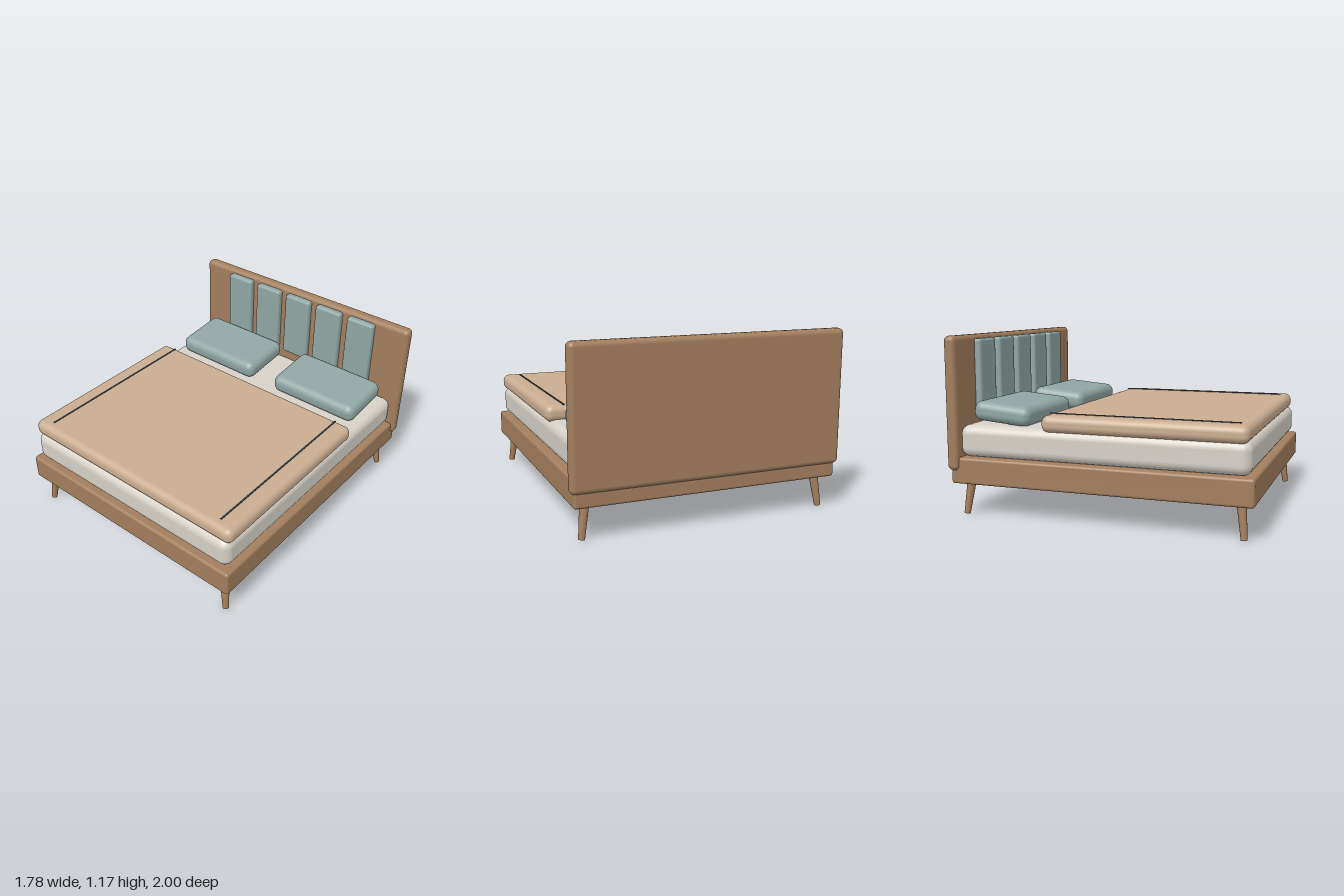
import * as THREE from 'three';
import { RoundedBoxGeometry } from 'three/addons/geometries/RoundedBoxGeometry.js';

const material = (name, color) => {
  const m = new THREE.MeshStandardMaterial({ color });
  m.name = name;
  return m;
};

export function createModel() {
  const wood = material('wood', 0xa27e5d);
  const linen = material('mattress linen', 0xd6d1c8);
  const blanketCloth = material('blanket cloth', 0xcaad91);
  const sage = material('sage fabric', 0x90a6a4);
  const stitch = material('dark stitching', 0x39484c);

  const bed = new THREE.Group();
  bed.name = 'bed';

  // Rounded block spanning the given [min, max] ranges
  const block = (name, mat, [x0, x1], [y0, y1], [z0, z1], radius) => {
    const geometry = new RoundedBoxGeometry(x1 - x0, y1 - y0, z1 - z0, 5, radius);
    const mesh = new THREE.Mesh(geometry, mat);
    mesh.name = name;
    mesh.position.set((x0 + x1) / 2, (y0 + y1) / 2, (z0 + z1) / 2);
    bed.add(mesh);
    return mesh;
  };

  // Main body
  block('frame', wood, [-0.868, 0.868], [0.212, 0.385], [-0.98, 1.0], 0.018);
  block('headboard', wood, [-0.89, 0.89], [0.3, 1.167], [-1.0, -0.918], 0.033);
  block('mattress', linen, [-0.84, 0.84], [0.385, 0.593], [-0.935, 0.972], 0.06);
  block('blanket', blanketCloth, [-0.85, 0.85], [0.575, 0.683], [-0.352, 0.957], 0.045);

  // Upholstered headboard panels
  for (let i = -2; i <= 2; i++) {
    const x = i * 0.266;
    block('headboardPanel', sage, [x - 0.106, x + 0.106], [0.658, 1.14], [-0.935, -0.874], 0.02);
  }

  for (const side of [-1, 1]) {
    // Pillows, raised slightly toward the headboard
    const cx = side * 0.435;
    const pillow = block('pillow', sage, [cx - 0.338, cx + 0.338], [0.6, 0.73], [-0.87, -0.466], 0.055);
    pillow.rotation.x = 0.09;

    // Thin stitched line along each side of the blanket
    const line = new THREE.Mesh(new THREE.BoxGeometry(0.01, 0.008, 1.22), stitch);
    line.name = 'blanketStitch';
    line.position.set(side * 0.73, 0.684, 0.28);
    bed.add(line);

    // Tapered legs, splayed outward at each corner
    for (const end of [-1, 1]) {
      const top = new THREE.Vector3(side * 0.776, 0.225, 0.013 + end * 0.895);
      const foot = new THREE.Vector3(side * 0.805, 0.004, 0.013 + end * 0.92);
      const axis = top.clone().sub(foot);
      const leg = new THREE.Mesh(new THREE.CylinderGeometry(0.03, 0.02, axis.length(), 24), wood);
      leg.name = 'leg';
      leg.position.copy(top).add(foot).multiplyScalar(0.5);
      leg.quaternion.setFromUnitVectors(new THREE.Vector3(0, 1, 0), axis.normalize());
      bed.add(leg);
    }
  }

  return bed;
}
